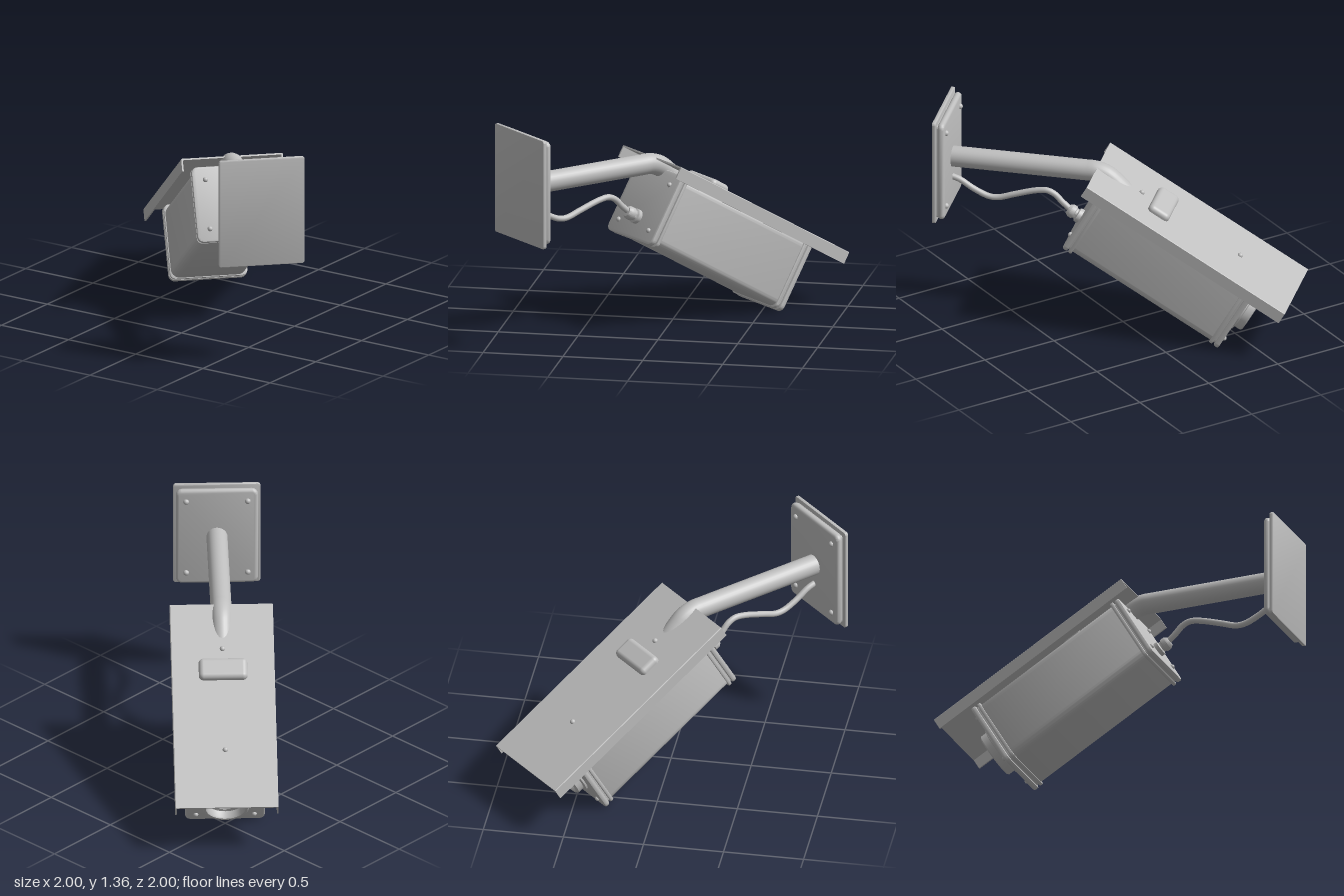
import * as THREE from 'three';
import { toCreasedNormals } from 'three/addons/utils/BufferGeometryUtils.js';
import { RoundedBoxGeometry } from 'three/addons/geometries/RoundedBoxGeometry.js';

const grey = new THREE.MeshStandardMaterial({ color: 0xbfbfbf });
grey.name = 'painted grey metal';

function add(parent, name, geometry, x = 0, y = 0, z = 0) {
  const mesh = new THREE.Mesh(geometry, grey);
  mesh.name = name;
  mesh.position.set(x, y, z);
  parent.add(mesh);
  return mesh;
}

// Rounded rectangular block from z = 0 to z = d, with bevelled end edges
function slab(w, h, d, r, bevel, segments = 2) {
  const x = w / 2 - bevel, y = h / 2 - bevel;
  const s = new THREE.Shape();
  s.moveTo(-x + r, -y);
  s.lineTo(x - r, -y);
  s.absarc(x - r, -y + r, r, -Math.PI / 2, 0);
  s.lineTo(x, y - r);
  s.absarc(x - r, y - r, r, 0, Math.PI / 2);
  s.lineTo(-x + r, y);
  s.absarc(-x + r, y - r, r, Math.PI / 2, Math.PI);
  s.lineTo(-x, -y + r);
  s.absarc(-x + r, -y + r, r, Math.PI, Math.PI * 1.5);
  const g = new THREE.ExtrudeGeometry(s, {
    depth: d - 2 * bevel, bevelThickness: bevel, bevelSize: bevel,
    bevelSegments: segments, curveSegments: 6,
  });
  g.translate(0, 0, bevel);
  return toCreasedNormals(g, 0.6);
}

// Surface of revolution about z
function turned(points, segments = 40) {
  const g = new THREE.LatheGeometry(points.map(p => new THREE.Vector2(...p)), segments);
  g.rotateX(Math.PI / 2);
  return toCreasedNormals(g, 0.6);
}

// Four screw heads at the corners of a face
function screws(parent, name, x, y, z, r = 0.016) {
  for (const sx of [-1, 1]) for (const sy of [-1, 1]) {
    add(parent, name, new THREE.SphereGeometry(r, 14, 10), sx * x, sy * y, z);
  }
}

function path(points) {
  return new THREE.CatmullRomCurve3(points.map(([y, z]) => new THREE.Vector3(0, y, z)), false, 'centripetal');
}

function createModel() {
  const model = new THREE.Group();
  model.name = 'securityCamera';

  // Whole assembly looks along its own +z, turned to the back right corner
  const rig = new THREE.Group();
  rig.name = 'cameraAssembly';
  rig.rotation.y = -Math.PI * 0.75;
  model.add(rig);

  // Wall mount
  const mount = new THREE.Group();
  mount.name = 'wallMount';
  mount.position.set(0, 1.025, -1.146);
  rig.add(mount);
  add(mount, 'wallBackPlate', slab(0.537, 0.69, 0.024, 0.012, 0.005));
  add(mount, 'wallGasket', slab(0.48, 0.63, 0.02, 0.015, 0.002), 0, 0, 0.018);
  add(mount, 'wallFrontPlate', slab(0.505, 0.655, 0.042, 0.02, 0.018, 3), 0, 0, 0.03);
  screws(mount, 'wallScrew', 0.19, 0.25, 0.072, 0.018);

  // Support arm with a bent end entering the sun shield
  const arm = path([[1.025, -1.09], [1.025, -0.7], [1.025, -0.24], [1.024, -0.17],
    [1.0, -0.1], [0.95, -0.04], [0.89, 0.02]]);
  add(rig, 'supportArm', new THREE.TubeGeometry(arm, 50, 0.065, 28));

  // Cable between housing and wall
  const cable = path([[0.75, -0.34], [0.79, -0.385], [0.835, -0.43], [0.856, -0.48],
    [0.848, -0.55], [0.805, -0.69], [0.773, -0.79], [0.776, -0.85], [0.815, -0.94], [0.87, -1.03], [0.89, -1.09]]);
  add(rig, 'cable', new THREE.TubeGeometry(cable, 70, 0.019, 14));

  // Tilted camera head, z = 0 at the rear cover
  const head = new THREE.Group();
  head.name = 'cameraHead';
  head.position.set(0, 0.785, -0.215);
  head.rotation.x = THREE.MathUtils.degToRad(30.3);
  rig.add(head);

  // Housing with its end covers
  add(head, 'rearCover', slab(0.49, 0.475, 0.034, 0.03, 0.01));
  add(head, 'rearGasket', slab(0.46, 0.45, 0.02, 0.03, 0.002), 0, 0, 0.03);
  add(head, 'rearFlange', slab(0.49, 0.475, 0.022, 0.03, 0.005), 0, 0, 0.043);
  add(head, 'housing', slab(0.47, 0.458, 1.04, 0.05, 0.004), 0, 0, 0.055);
  add(head, 'frontFlange', slab(0.485, 0.472, 0.022, 0.03, 0.005), 0, 0, 1.072);
  add(head, 'frontGasket', slab(0.46, 0.45, 0.02, 0.03, 0.002), 0, 0, 1.09);
  add(head, 'frontCover', slab(0.49, 0.478, 0.034, 0.03, 0.01), 0, 0, 1.106);
  screws(head, 'rearScrew', 0.163, 0.155, 0);
  screws(head, 'frontScrew', 0.18, 0.175, 1.14);

  // Lens hood, recessed ring and glass
  add(head, 'lensHood', turned([[0.165, 0], [0.165, 0.014], [0.145, 0.02], [0.145, 0.06],
    [0.136, 0.068], [0.122, 0.068], [0.116, 0.06], [0.112, 0.02], [0.095, 0.016], [0.095, 0.005]]), 0, 0, 1.138);
  add(head, 'lensGlass', turned([[0.1, 0.004], [0.085, 0.014], [0.06, 0.022], [0.03, 0.027], [0, 0.028]]), 0, 0, 1.138);

  // Cable gland on the rear cover
  const gland = add(head, 'cableGland', turned([[0.046, 0], [0.046, 0.03], [0.034, 0.036], [0.034, 0.048],
    [0.042, 0.053], [0.042, 0.08], [0.03, 0.098], [0, 0.1]], 24), 0, -0.1, 0.005);
  gland.rotation.y = Math.PI;

  // Sun shield: folded sheet with two side flaps
  const shield = new THREE.Group();
  shield.name = 'sunShield';
  head.add(shield);
  const w = 0.318, t = 0.01, top = 0.276, low = 0.197;
  const profile = new THREE.Shape([[-w, low], [-w + t, low], [-w + t, top - t], [w - t, top - t],
    [w - t, low], [w, low], [w, top - 0.004], [w - 0.004, top], [-w + 0.004, top], [-w, top - 0.004]]
    .map(p => new THREE.Vector2(...p)));
  add(shield, 'shieldSheet', new THREE.ExtrudeGeometry(profile, { depth: 1.448, bevelEnabled: false }), 0, 0, -0.09);
  add(shield, 'shieldBlock', new RoundedBoxGeometry(0.3, 0.09, 0.145, 5, 0.03), 0, top - 0.005, 0.378);
  for (const z of [0.227, 0.946]) {
    add(shield, 'shieldScrew', new THREE.SphereGeometry(0.017, 14, 10), 0, top, z);
    add(shield, 'shieldSpacer', new THREE.CylinderGeometry(0.03, 0.03, 0.06, 20), 0, 0.242, z);
  }
  return model;
}

export { createModel };
